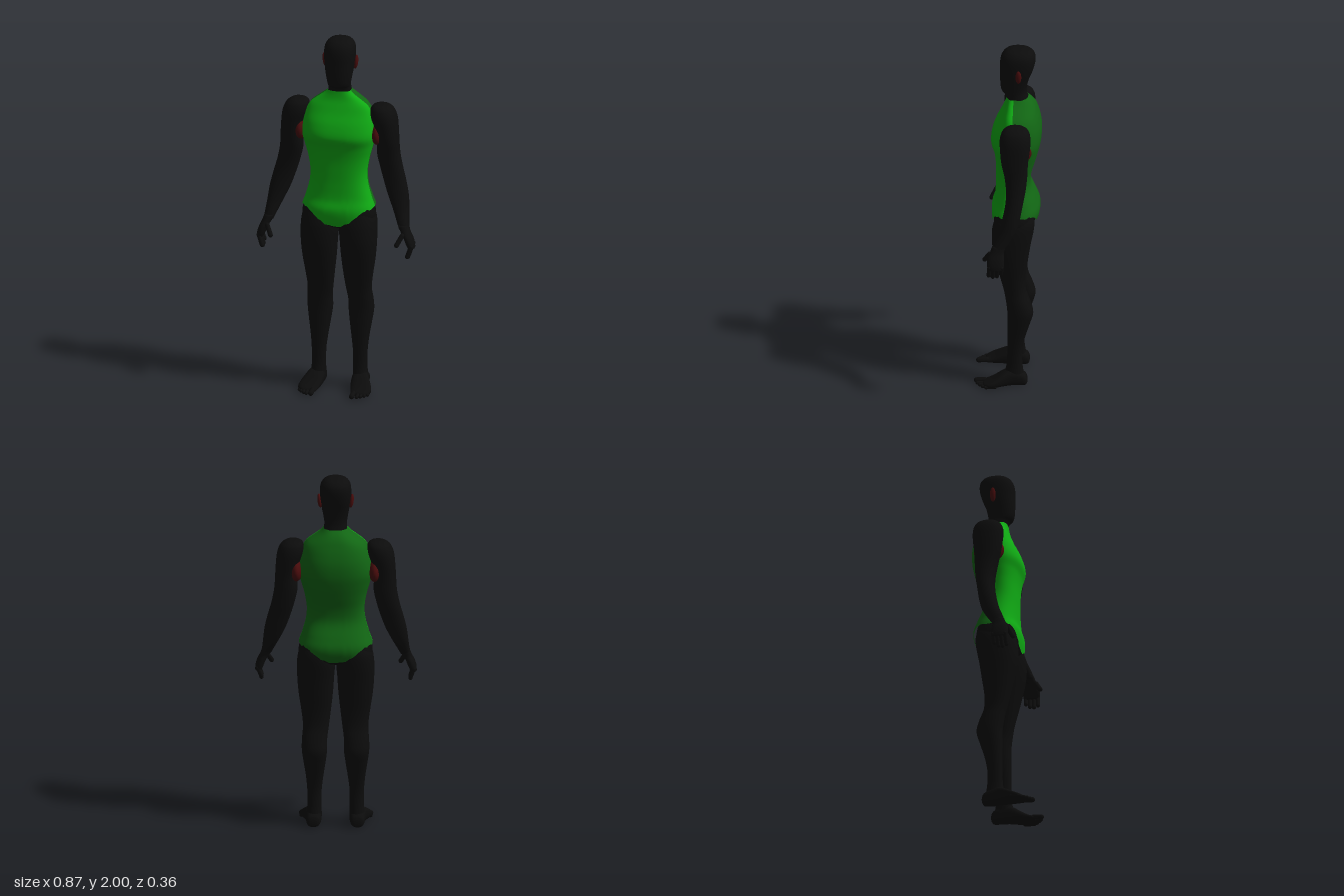
import * as THREE from 'three';

const mat = (name, color) => Object.assign(new THREE.MeshStandardMaterial({ color }), { name });

// Smoothly interpolates ring values [t, xMin, xMax, zFront, zBack] at t.
function sample(rings, t) {
  let i = 0;
  while (i < rings.length - 2 && t > rings[i + 1][0]) i++;
  const p = rings[i], q = rings[i + 1], h = q[0] - p[0], u = (t - p[0]) / h;
  const slope = (j, k) => {
    const a = rings[Math.max(j - 1, 0)], b = rings[Math.min(j + 1, rings.length - 1)];
    return (b[k] - a[k]) / (b[0] - a[0]);
  };
  return p.map((_, k) => p[k] * (1 + 2 * u) * (1 - u) ** 2 + q[k] * u * u * (3 - 2 * u)
    + h * slope(i, k) * u * (1 - u) ** 2 + h * slope(i + 1, k) * u * u * (u - 1));
}

// Lofts rounded sections up the y axis; the front half-turn is group 0, the back group 1.
function loft(rings, { n = 2.2, seg = 32, split, hem, rows = (rings.length - 1) * 4 } = {}) {
  const pos = [], idx = [], top = rings[rings.length - 1][0];
  const bend = v => Math.sign(v) * Math.abs(v) ** (2 / n);
  for (let r = 0; r <= rows; r++) {
    for (let s = 0; s < seg; s++) {
      const a = s / seg * Math.PI * 2, f = r / rows * (rings.length - 1), k = Math.min(Math.floor(f), rings.length - 2);
      const low = hem ? hem(Math.cos(a), Math.sin(a)) : 0;
      const t = hem ? low + (top - low) * r / rows : rings[k][0] + (rings[k + 1][0] - rings[k][0]) * (f - k);
      const [, x0, x1, zf, zb] = sample(rings, t);
      const mid = split ?? (zf + zb) / 2, c = bend(Math.cos(a)), d = bend(Math.sin(a));
      pos.push((x0 + x1) / 2 + (x1 - x0) / 2 * c, t, mid + d * (d > 0 ? zf - mid : mid - zb));
    }
  }
  for (let s = 0; s < seg; s++) {
    const e = (s + 1) % seg;
    for (let r = 0; r < rows; r++) {
      const a = r * seg + s, b = r * seg + e;
      idx.push(a, a + seg, b, b, a + seg, b + seg);
    }
  }
  const half = idx.length / 2;
  if (!hem) {
    // End caps
    for (const [t, x0, x1, zf, zb] of [rings[0], rings[rings.length - 1]]) {
      const c = pos.length / 3, up = t === top, base = up ? rows * seg : 0;
      pos.push((x0 + x1) / 2, t, (zf + zb) / 2);
      for (let s = 0; s < seg; s++) {
        const a = base + s, b = base + (s + 1) % seg;
        up ? idx.push(c, b, a) : idx.push(c, a, b);
      }
    }
  }
  const g = new THREE.BufferGeometry();
  g.setAttribute('position', new THREE.Float32BufferAttribute(pos, 3));
  g.setIndex(idx);
  if (hem) { g.addGroup(0, half, 0); g.addGroup(half, half, 1); }
  g.computeVertexNormals();
  return g;
}

// Tapered round-ended digit between two points
function digit(a, b, r) {
  const p = new THREE.Vector3(...a), q = new THREE.Vector3(...b), d = q.clone().sub(p);
  const g = new THREE.CapsuleGeometry(r, Math.max(d.length() - r, 0.002), 5, 12);
  g.applyQuaternion(new THREE.Quaternion().setFromUnitVectors(new THREE.Vector3(0, 1, 0), d.normalize()));
  const m = p.add(q).multiplyScalar(0.5);
  return g.translate(m.x, m.y, m.z);
}

function ellipsoid(c, r) {
  return new THREE.SphereGeometry(1, 24, 16).scale(...r).translate(...c);
}

function mirrored(geo) {
  const g = geo.clone().scale(-1, 1, 1), i = g.index.array;
  for (let k = 0; k < i.length; k += 3) [i[k], i[k + 1]] = [i[k + 1], i[k]];
  g.computeVertexNormals();
  return g;
}

export function createModel() {
  const black = mat('black', 0x0c0c0c), red = mat('dark red', 0x480c0c);
  const green = mat('bright green', 0x10aa14), darkGreen = mat('dark green', 0x126614);
  const model = new THREE.Group();
  model.name = 'figure';
  const add = (name, geo, m) => {
    const mesh = new THREE.Mesh(geo, m);
    mesh.name = name;
    model.add(mesh);
  };
  const pair = (name, geo, m) => {
    add('left' + name, geo, m);
    add('right' + name, mirrored(geo), m);
  };
  const even = rows => rows.map(([y, w, f, b]) => [y, -w, w, f, b]);

  // Torso suit: bright front and dark back, with a curved lower hem
  const hem = (c, s) => {
    const u = THREE.MathUtils.smoothstep(Math.abs(c), 0, 0.85);
    return 0.955 + u * 0.095 + (s < 0 ? 0.008 * (1 - u) : 0) + 0.004 * Math.sin(c * 40);
  };
  add('torsoSuit', loft(even([
    [0.93, 0.205, 0.075, -0.125], [1.0, 0.206, 0.087, -0.165], [1.05, 0.199, 0.088, -0.172],
    [1.1, 0.182, 0.073, -0.155], [1.18, 0.161, 0.067, -0.122], [1.25, 0.156, 0.066, -0.125],
    [1.33, 0.168, 0.068, -0.147], [1.4, 0.187, 0.077, -0.166], [1.46, 0.201, 0.093, -0.178],
    [1.53, 0.195, 0.075, -0.18], [1.59, 0.18, 0.045, -0.17], [1.63, 0.158, 0.028, -0.158],
    [1.66, 0.12, 0.016, -0.147], [1.69, 0.08, 0.01, -0.128], [1.71, 0.063, 0.008, -0.107],
  ]), { n: 2.5, seg: 64, split: -0.03, hem, rows: 56 }), [green, darkGreen]);

  // Pelvis under the hem
  add('pelvis', loft(even([
    [0.93, 0.09, 0.03, -0.08], [0.95, 0.17, 0.06, -0.12], [1.0, 0.2, 0.081, -0.157], [1.08, 0.182, 0.072, -0.15],
  ]), { n: 2.4, seg: 48, split: -0.03 }), black);

  // Head and neck
  add('head', loft(even([
    [1.66, 0.07, 0.0, -0.115], [1.7, 0.064, 0.006, -0.107], [1.73, 0.061, 0.016, -0.1], [1.745, 0.062, 0.034, -0.099],
    [1.77, 0.066, 0.042, -0.1], [1.82, 0.075, 0.045, -0.112], [1.87, 0.082, 0.045, -0.132],
    [1.92, 0.085, 0.045, -0.145], [1.96, 0.08, 0.036, -0.144], [1.985, 0.063, 0.016, -0.126],
    [1.997, 0.038, -0.012, -0.096], [2.0, 0.012, -0.04, -0.066],
  ]), { n: 2.25, seg: 40 }), black);
  const ear = ellipsoid([0, 0, 0], [0.012, 0.04, 0.016]);
  pair('Ear', ear.rotateZ(-0.12).translate(0.086, 1.865, -0.058), red);

  // Arm from wrist to shoulder
  pair('Arm', loft([
    [0.96, 0.348, 0.403, 0.072, 0.005], [1.0, 0.33, 0.397, 0.06, -0.025], [1.06, 0.302, 0.391, 0.035, -0.06],
    [1.13, 0.27, 0.383, 0.015, -0.08], [1.21, 0.242, 0.365, 0.0, -0.095], [1.28, 0.222, 0.346, -0.002, -0.108],
    [1.36, 0.205, 0.331, 0.008, -0.116], [1.44, 0.208, 0.326, 0.025, -0.12], [1.52, 0.19, 0.321, 0.033, -0.13],
    [1.57, 0.172, 0.314, 0.034, -0.132], [1.61, 0.172, 0.297, 0.022, -0.122], [1.63, 0.186, 0.273, 0.0, -0.1],
    [1.638, 0.21, 0.25, -0.03, -0.07],
  ]), black);
  // Red underarm patch
  pair('Underarm', ellipsoid([0.212, 1.47, -0.052], [0.036, 0.066, 0.084]), red);

  // Hand
  pair('Palm', loft([
    [0.86, 0.4, 0.436, 0.088, 0.006], [0.885, 0.389, 0.434, 0.095, 0.002], [0.92, 0.375, 0.423, 0.093, 0.002],
    [0.95, 0.357, 0.409, 0.08, 0.004], [0.985, 0.338, 0.398, 0.066, -0.01],
  ], { seg: 24 }), black);
  [[0.014, 0.826], [0.036, 0.808], [0.058, 0.804], [0.08, 0.812]].forEach(([z, y], i) => {
    pair('Finger' + (i + 1), digit([0.423, 0.88, z], [0.4, y, z + 0.006], 0.0115), black);
  });
  pair('Thumb', digit([0.376, 0.94, 0.078], [0.346, 0.882, 0.112], 0.013), black);

  // Leg from ankle to hip
  pair('Leg', loft([
    [0.02, 0.08, 0.155, 0.01, -0.095], [0.06, 0.076, 0.157, 0.015, -0.09], [0.12, 0.076, 0.152, 0.004, -0.082],
    [0.2, 0.075, 0.153, 0, -0.08], [0.28, 0.066, 0.16, 0, -0.094], [0.37, 0.053, 0.173, 0, -0.121],
    [0.44, 0.045, 0.182, 0, -0.14], [0.5, 0.045, 0.181, 0.006, -0.126], [0.57, 0.036, 0.176, 0.018, -0.101],
    [0.65, 0.026, 0.185, 0.038, -0.097], [0.75, 0.015, 0.2, 0.062, -0.11], [0.85, 0.008, 0.208, 0.082, -0.125],
    [0.94, 0.003, 0.208, 0.083, -0.142], [1.0, 0.02, 0.198, 0.07, -0.145], [1.06, 0.04, 0.17, 0.05, -0.125],
  ]), black);

  // Foot: lofted from heel to ball, then tipped forward so the sole lies on the ground
  pair('Foot', loft([
    [-0.108, 0.1, 0.138, -0.015, -0.045], [-0.1, 0.086, 0.152, -0.004, -0.064], [-0.07, 0.077, 0.159, 0, -0.085],
    [-0.02, 0.075, 0.167, 0, -0.098], [0.02, 0.076, 0.182, 0, -0.082], [0.06, 0.082, 0.197, 0, -0.056],
    [0.095, 0.09, 0.199, 0, -0.037], [0.122, 0.097, 0.18, -0.002, -0.026], [0.13, 0.105, 0.165, -0.006, -0.02],
  ], { n: 2.5 }).rotateX(Math.PI / 2), black);
  [[0.113, 0.174, 0.014], [0.139, 0.165, 0.01], [0.157, 0.152, 0.0095], [0.174, 0.136, 0.009], [0.188, 0.117, 0.009]]
    .forEach(([x, z, r], i) => pair('Toe' + (i + 1), digit([x, r + 0.004, z - 0.06], [x, r, z], r), black));

  return model;
}
